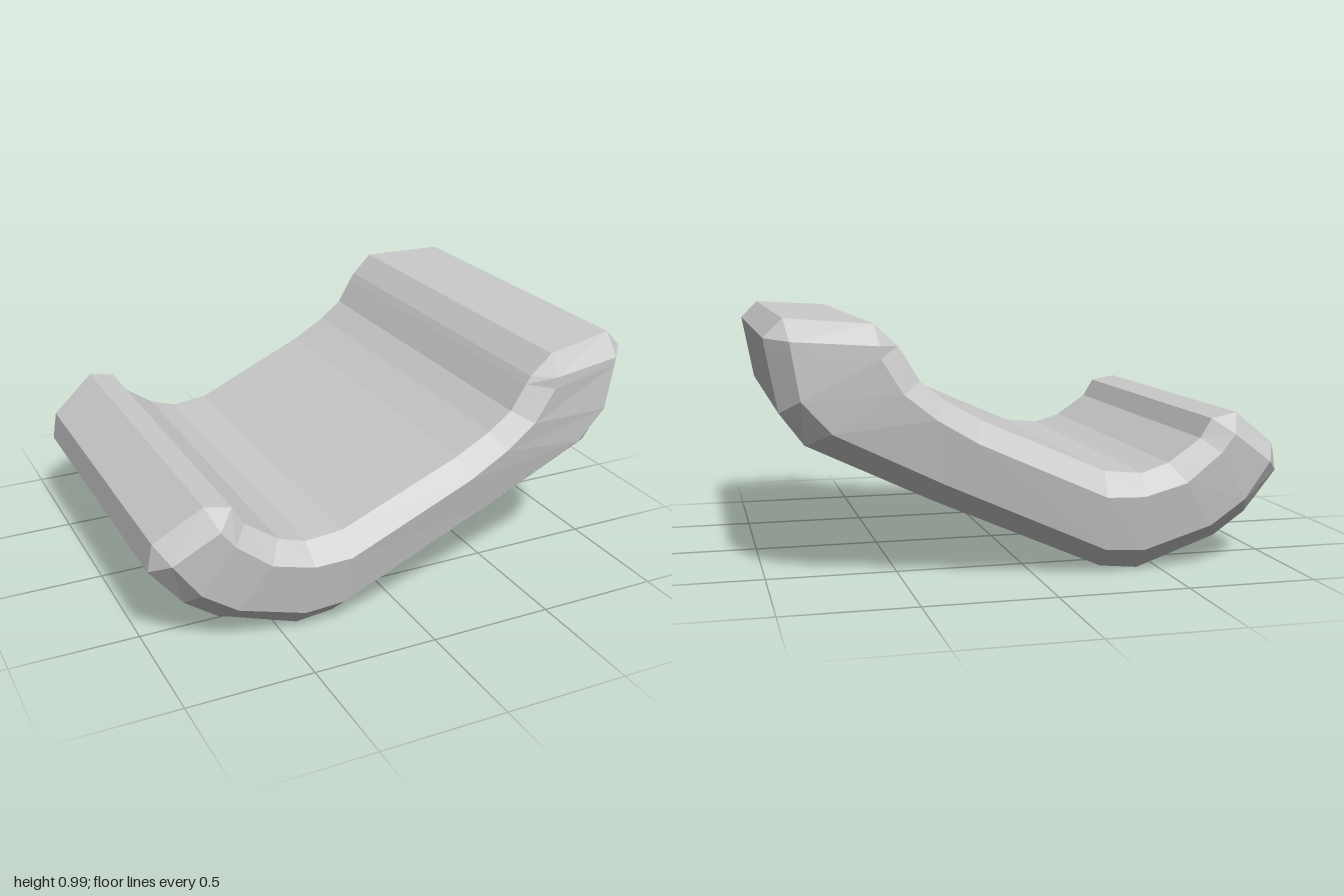
import * as THREE from 'three';

// Stations along the curve, from the low end (-x) to the raised end (+x):
// inner edge, inner rim of side face, outer rim of side face, outer edge, as x, y pairs
const stations = [
  [-0.695, 0.585, -0.765, 0.53, -0.935, 0.41, -1.0, 0.36],
  [-0.65, 0.51, -0.71, 0.46, -0.83, 0.265, -0.87, 0.2],
  [-0.52, 0.42, -0.57, 0.35, -0.69, 0.17, -0.74, 0.11],
  [-0.41, 0.385, -0.4, 0.305, -0.42, 0.09, -0.42, 0.0],
  [-0.26, 0.4, -0.25, 0.31, -0.26, 0.1, -0.27, 0.015],
  [0.22, 0.61, 0.25, 0.535, 0.36, 0.38, 0.39, 0.305],
  [0.36, 0.69, 0.4, 0.625, 0.77, 0.58, 0.86, 0.53],
  [0.45, 0.76, 0.52, 0.72, 0.88, 0.7, 0.95, 0.65],
  [0.51, 0.86, 0.602, 0.85, 0.91, 0.88, 0.993, 0.88],
  [0.53, 0.89, 0.607, 0.895, 0.915, 0.912, 1.0, 0.92],
];

// Half width of each of the four lines, widening slightly towards +x
const halfWidth = [
  (x) => 0.738 + 0.025 * x,
  (x) => 0.805 + 0.02 * x,
  (x) => 0.757 + 0.0135 * x,
  (x) => 0.662 + 0.008 * x,
];

// Closed ring of eight corners: +z half, then the mirrored half
function stationRing(s) {
  const half = halfWidth.map((w, i) => new THREE.Vector3(s[2 * i], s[2 * i + 1], w(s[2 * i])));
  return withMirror(half);
}

function withMirror(half) {
  const back = half.map((p) => new THREE.Vector3(p.x, p.y, -p.z)).reverse();
  return [...half, ...back];
}

// End plane: each corner counts twice so the corner bevels become triangles
function endRing(inner, outer) {
  const a = new THREE.Vector3(...inner);
  const b = new THREE.Vector3(...outer);
  return withMirror([a, a, b, b]);
}

function loft(rings) {
  const pos = [];
  const tri = (a, b, c) => {
    if (a.equals(b) || b.equals(c) || c.equals(a)) return;
    for (const p of [a, b, c]) pos.push(p.x, p.y, p.z);
  };
  for (let i = 0; i < rings.length - 1; i++) {
    const a = rings[i];
    const b = rings[i + 1];
    for (let k = 0; k < a.length; k++) {
      const n = (k + 1) % a.length;
      tri(a[k], a[n], b[n]);
      tri(a[k], b[n], b[k]);
    }
  }
  // flat ends
  const first = rings[0];
  const last = rings[rings.length - 1];
  for (let k = 1; k < first.length - 1; k++) {
    tri(first[0], first[k + 1], first[k]);
    tri(last[0], last[k], last[k + 1]);
  }
  const geometry = new THREE.BufferGeometry();
  geometry.setAttribute('position', new THREE.Float32BufferAttribute(pos, 3));
  geometry.computeVertexNormals();
  return geometry;
}

export function createModel() {
  const group = new THREE.Group();
  group.name = 'curvedSlab';

  // Thick curved slab with bevelled edges
  const rings = [
    endRing([-0.8, 0.605, 0.715], [-0.98, 0.47, 0.66]),
    ...stations.map(stationRing),
    endRing([0.615, 0.97, 0.755], [0.93, 0.99, 0.68]),
  ];
  const material = new THREE.MeshStandardMaterial({ color: 0xcccccc, flatShading: true });
  const slab = new THREE.Mesh(loft(rings), material);
  slab.name = 'bevelledSlab';
  group.add(slab);
  return group;
}
